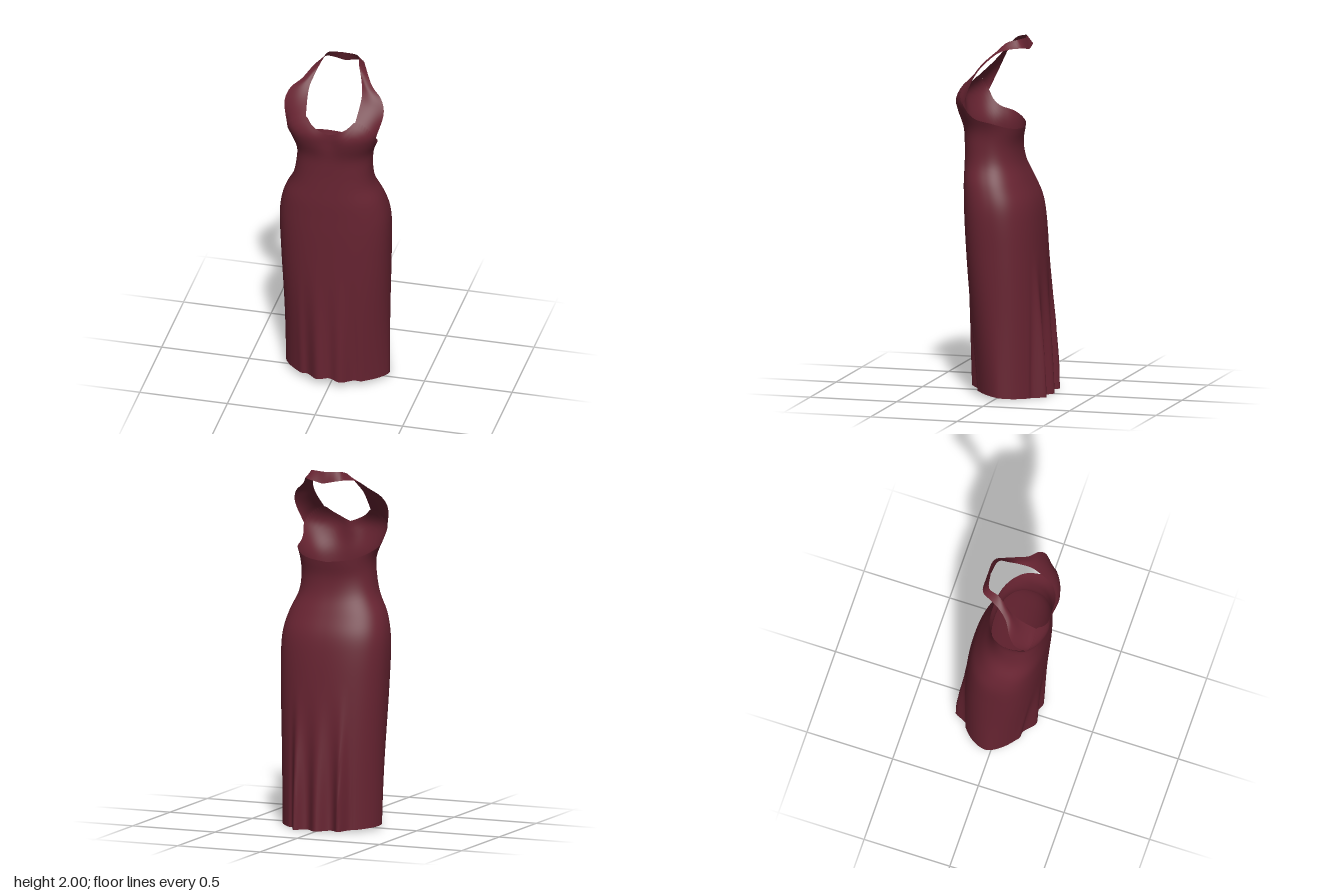
import * as THREE from 'three';
import { mergeGeometries, mergeVertices } from 'three/addons/utils/BufferGeometryUtils.js';

const RAD = Math.PI / 180;
const { lerp, smoothstep } = THREE.MathUtils;

// Smooth interpolation through [key, value...] rows
function lookup(rows, t) {
  let i = 0;
  while (i < rows.length - 2 && t > rows[i + 1][0]) i++;
  const at = (k) => rows[Math.min(Math.max(k, 0), rows.length - 1)];
  const [p, a, b, q] = [at(i - 1), at(i), at(i + 1), at(i + 2)];
  const h = b[0] - a[0];
  const f = Math.min(Math.max((t - a[0]) / h, 0), 1);
  const f2 = f * f, f3 = f2 * f;
  return a.slice(1).map((v, k) => {
    const m0 = (b[k + 1] - p[k + 1]) / (b[0] - p[0]) * h;
    const m1 = (q[k + 1] - v) / (q[0] - a[0]) * h;
    return (2 * f3 - 3 * f2 + 1) * v + (f3 - 2 * f2 + f) * m0 + (3 * f2 - 2 * f3) * b[k + 1] + (f3 - f2) * m1;
  });
}

// Height, half width, front z, back z
const SECTIONS = [
  [0, 0.294, 0.192, -0.243], [0.4, 0.297, 0.203, -0.228], [0.8, 0.308, 0.22, -0.205],
  [1.0, 0.312, 0.229, -0.188], [1.1, 0.304, 0.232, -0.168], [1.2, 0.277, 0.235, -0.125],
  [1.3, 0.23, 0.234, -0.083], [1.4, 0.213, 0.234, -0.07], [1.5, 0.215, 0.24, -0.085],
  [1.6, 0.254, 0.268, -0.085], [1.66, 0.28, 0.275, -0.085], [1.72, 0.296, 0.246, -0.085], [1.8, 0.3, 0.175, -0.085],
];

// Angle from the front, height of the top edge: neckline, strap base, armhole, back
const TOP_EDGE = [
  [0, 1.668], [8, 1.69], [16, 1.715], [24, 1.747], [44, 1.71], [64, 1.65],
  [72, 1.6], [84, 1.565], [104, 1.545], [140, 1.51], [180, 1.49],
];

const centreX = (y) => 0.017 * smoothstep(y, 1.15, 1.65);
const topEdge = (deg) => lookup(TOP_EDGE, Math.abs(deg))[0];
const hem = (deg) => {
  const c = Math.cos(deg * RAD);
  return 0.02 + 0.016 * c - 0.006 * Math.sin(deg * RAD) + 0.016 * Math.max(0, c) ** 12;
};

// Point of the fitted body: rounded oval sections with skirt folds and bust shaping
function bodyPoint(deg, y) {
  const [w, front, back] = lookup(SECTIONS, y);
  const s = Math.sin(deg * RAD), c = Math.cos(deg * RAD);
  // the skirt grows less square toward the hem
  const fall = 1 - smoothstep(y, -0.1, 0.95);
  const sideBlend = smoothstep(c, -0.3, 0.3);
  const power = 2 / (lerp(2.3, 2.4, sideBlend) - fall * lerp(0.5, 0.85, sideBlend));
  const x = w * Math.sign(s) * Math.abs(s) ** power;
  let z = (front + back) / 2 + (front - back) / 2 * Math.sign(c) * Math.abs(c) ** power;
  const fold = (1 - smoothstep(y, 0, 0.85)) * (1 - smoothstep(Math.abs(x), 0.14, 0.2));
  const depth = c > 0 ? 0.014 : 0.02 + 0.024 * Math.min(1, Math.abs(x) / 0.132) ** 4;
  z -= fold * depth * Math.cos(2 * Math.PI * x / 0.132);
  if (c > 0) z -= 0.022 * Math.exp(-((x / 0.06) ** 2) - ((y - 1.64) / 0.09) ** 2);
  return new THREE.Vector3(x + centreX(y), y, z);
}

// Surface from a rule giving a point for each column and row
function surface(columns, rows, point) {
  const positions = [], index = [];
  for (let i = 0; i <= columns; i++) {
    for (let j = 0; j <= rows; j++) positions.push(...point(i, j).toArray());
  }
  for (let i = 0; i < columns; i++) {
    for (let j = 0; j < rows; j++) {
      const a = i * (rows + 1) + j, b = a + rows + 1;
      index.push(a, b, b + 1, a, b + 1, a + 1);
    }
  }
  const geometry = new THREE.BufferGeometry();
  geometry.setAttribute('position', new THREE.Float32BufferAttribute(positions, 3));
  geometry.setIndex(index);
  return geometry;
}

// Halter strap: armhole edge and neck edge, from the bust to behind the neck
const STRAP = [
  [[0.283, 1.78, 0.13], [0.151, 1.825, 0.132]],
  [[0.26, 1.845, 0.095], [0.15, 1.87, 0.09]],
  [[0.2, 1.895, 0.055], [0.137, 1.91, 0.05]],
  [[0.163, 1.935, 0.005], [0.118, 1.955, 0.01]],
  [[0.135, 1.952, -0.05], [0.102, 1.985, -0.025]],
  [[0.1, 1.955, -0.112], [0.085, 2.0, -0.08]],
  [[0, 1.935, -0.123], [0, 1.998, -0.1]],
];

function strap(side) {
  const columns = 10, rows = 36;
  const curves = [];
  for (let i = 0; i <= columns; i++) {
    const deg = side > 0 ? 24 + 4 * i : -64 + 4 * i;
    const outer = (Math.abs(deg) - 24) / 40;
    const points = [bodyPoint(deg, topEdge(deg))];
    STRAP.forEach(([arm, neck], k) => {
      const p = new THREE.Vector3(...neck).lerp(new THREE.Vector3(...arm), outer);
      // slight outward curve across the strap, flat behind the neck
      p.z += (k < 3 ? 0.012 : 0.004) * Math.sin(outer * Math.PI) * (k < 5 ? 1 : 0);
      p.x = p.x * side + centreX(p.y);
      points.push(p);
    });
    curves.push(new THREE.CatmullRomCurve3(points));
  }
  return surface(columns, rows, (i, j) => curves[i].getPoint(j / rows));
}

export function createModel() {
  const fabric = new THREE.MeshStandardMaterial({ color: 0x682432, side: THREE.DoubleSide });
  fabric.name = 'burgundy fabric';

  // Body from hem to top edge, then both straps joined into one smooth cloth
  const rows = 64;
  const body = surface(180, rows, (i, j) => {
    const deg = -180 + 2 * i;
    return bodyPoint(deg, lerp(hem(deg), topEdge(deg), j / rows));
  });
  const cloth = mergeVertices(mergeGeometries([body, strap(1), strap(-1)]), 1e-4);
  cloth.computeVertexNormals();

  const gown = new THREE.Mesh(cloth, fabric);
  gown.name = 'halterGown';
  const group = new THREE.Group();
  group.name = 'dress';
  group.add(gown);
  return group;
}
